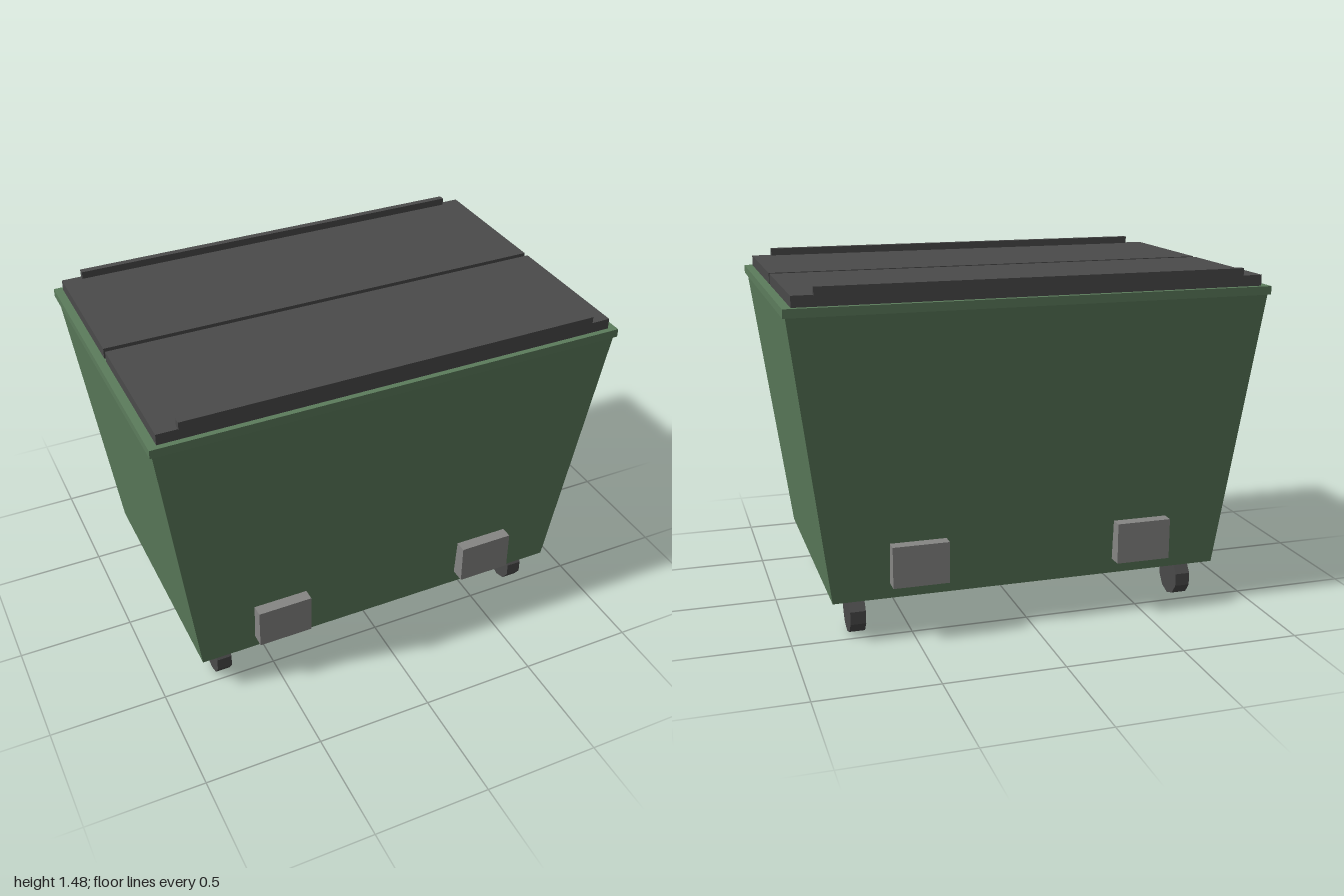
import * as THREE from 'three';

export function createModel() {
  const group = new THREE.Group();
  const mat = (name, color) => {
    const m = new THREE.MeshStandardMaterial({ color });
    m.name = name;
    return m;
  };
  const green = mat('green paint', 0x5c7c5c);
  const dark = mat('dark plastic', 0x4a4a4a);
  const grey = mat('grey metal', 0x868684);

  const add = (name, geometry, material, x, y, z) => {
    const mesh = new THREE.Mesh(geometry, material);
    mesh.name = name;
    mesh.position.set(x, y, z);
    group.add(mesh);
    return mesh;
  };
  // Box given by its size, centre x and z, and the height of its underside
  const box = (name, material, w, h, d, x, y, z) =>
    add(name, new THREE.BoxGeometry(w, h, d), material, x, y + h / 2, z);

  // Tapered bin: the box's lower corners are pulled inwards
  const bin = new THREE.BoxGeometry(1.98, 1.19, 1.28);
  const p = bin.attributes.position;
  for (let i = 0; i < p.count; i++) {
    if (p.getY(i) < 0) {
      p.setX(i, Math.sign(p.getX(i)) * 0.835);
      p.setZ(i, Math.sign(p.getZ(i)) * 0.547);
    }
  }
  const body = add('binBody', bin.toNonIndexed(), green, 0, 0.775, 0);
  body.geometry.computeVertexNormals();
  box('rim', green, 2, 0.035, 1.3, 0, 1.365, 0);

  // Ten-sided wheel with a corner pointing straight down
  const wheel = new THREE.CylinderGeometry(0.088, 0.088, 0.065, 10).toNonIndexed();
  wheel.rotateZ(Math.PI / 2);
  wheel.computeVertexNormals();
  const wp = wheel.attributes.position;
  let low = 0;
  for (let i = 0; i < wp.count; i++) low = Math.min(low, wp.getY(i));
  if (low > -0.0879) wheel.rotateX(Math.PI / 10);

  for (const sz of [1, -1]) {
    // Lid halves with a long handle ridge on the outer edge
    box('lid', dark, 1.93, 0.045, 0.615, 0, 1.4, sz * 0.3195);
    box('lidHandle', dark, 1.76, 0.033, 0.028, 0, 1.443, sz * 0.618);
    for (const sx of [1, -1]) {
      box('liftPocket', grey, 0.235, 0.175, 0.12, sx * 0.4825, 0.245, sz * 0.556);
      box('casterPlate', grey, 0.11, 0.014, 0.105, sx * 0.725, 0.168, sz * 0.417);
      add('wheel', wheel, dark, sx * 0.725, 0.088, sz * 0.417);
    }
  }
  return group;
}
